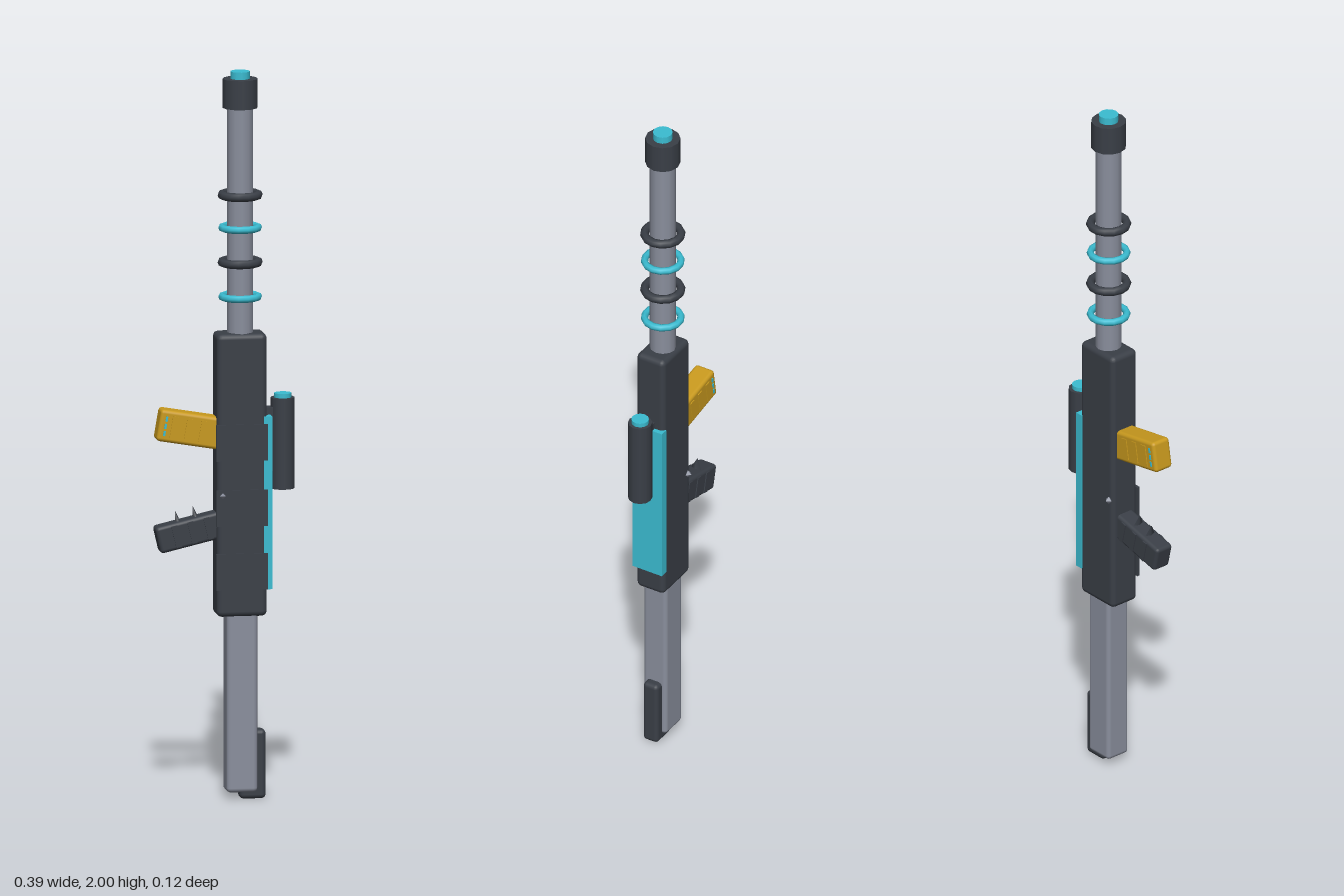
import * as THREE from 'three';
import { RoundedBoxGeometry } from 'three/addons/geometries/RoundedBoxGeometry.js';

export function createModel() {
  const root = new THREE.Group();
  root.name = 'uprightBlaster';
  const mat = (name, color) => {
    const m = new THREE.MeshStandardMaterial({ color });
    m.name = name;
    return m;
  };
  const dark = mat('charcoal', 0x3a3f47);
  const grey = mat('steelGrey', 0x8a8f9d);
  const cyan = mat('glowCyan', 0x3bbdd2);
  const gold = mat('amber', 0xc99a1e);

  const add = (parent, name, geo, material, x, y, z = 0) => {
    const m = new THREE.Mesh(geo, material);
    m.name = name;
    m.position.set(x, y, z);
    parent.add(m);
    return m;
  };
  // Boxes given by their x, y and z limits
  const box = (parent, name, material, [x0, x1], [y0, y1], [z0, z1], r = 0) => {
    const s = [x1 - x0, y1 - y0, z1 - z0];
    const geo = r ? new RoundedBoxGeometry(...s, 2, r) : new THREE.BoxGeometry(...s);
    return add(parent, name, geo, material, (x0 + x1) / 2, (y0 + y1) / 2, (z0 + z1) / 2);
  };
  const cyl = (name, material, r, y0, y1, x, sides = 12) =>
    add(root, name, new THREE.CylinderGeometry(r, r, y1 - y0, sides), material, x, (y0 + y1) / 2);

  const axis = 0.042;

  // Receiver, stock and butt pad
  box(root, 'receiver', dark, [-0.028, 0.11], [0.505, 1.283], [-0.045, 0.045], 0.015);
  box(root, 'stock', grey, [0, 0.085], [0.02, 0.52], [-0.037, 0.037], 0.012);
  box(root, 'buttPad', dark, [0.038, 0.11], [0, 0.19], [-0.024, 0.024], 0.012);

  // Raised plates on the front of the receiver
  for (const y of [0.985, 0.805, 0.63]) {
    box(root, 'armourPlate', dark, [-0.031, 0.111], [y - 0.05, y + 0.05], [0.04, 0.0485]);
  }
  // Receiver pins
  for (const s of [-1, 1]) {
    add(root, 'pin', new THREE.OctahedronGeometry(0.011), grey, -0.013, 0.84, s * 0.046);
  }

  // Barrel, muzzle and coil rings
  cyl('barrel', grey, 0.036, 1.26, 1.92, axis);
  cyl('muzzle', dark, 0.048, 1.9, 1.98, axis);
  cyl('muzzleCore', cyan, 0.027, 1.95, 2, axis);
  [1.38, 1.475, 1.57, 1.66].forEach((y, i) => {
    const ring = new THREE.TorusGeometry(0.05, i % 2 ? 0.012 : 0.01, 8, 14).rotateX(Math.PI / 2);
    add(root, 'coilRing', ring, i % 2 ? dark : cyan, axis, y);
  });

  // Energy panel and scope
  box(root, 'energyPanel', cyan, [0.1, 0.123], [0.58, 1.055], [-0.047, 0.047]);
  box(root, 'scopeMount', dark, [0.1, 0.14], [0.9, 1.075], [-0.016, 0.016]);
  cyl('scope', dark, 0.033, 0.85, 1.1, 0.159);
  cyl('scopeLens', cyan, 0.024, 1.09, 1.112, 0.159);

  // Magazine, tilted up away from the receiver; local x runs outward to -x
  const mag = new THREE.Group();
  mag.name = 'magazine';
  mag.position.set(-0.02, 1.008, 0);
  mag.rotation.z = -0.17;
  root.add(mag);
  box(mag, 'magazineBody', gold, [-0.168, 0.03], [-0.044, 0.044], [-0.03, 0.03], 0.01);
  for (const s of [-1, 1]) {
    for (const x of [-0.125, -0.085, -0.045]) {
      add(mag, 'magazineRib', new THREE.BoxGeometry(0.018, 0.06, 0.005), gold, x, 0, s * 0.03);
    }
    for (const y of [-0.02, 0, 0.02]) {
      add(mag, 'chargeLight', new THREE.BoxGeometry(0.006, 0.014, 0.004), cyan, -0.15, y, s * 0.03);
    }
  }

  // Hand grip, tilted down away from the receiver
  const grip = new THREE.Group();
  grip.name = 'handGrip';
  grip.position.set(-0.02, 0.756, 0);
  grip.rotation.z = 0.23;
  root.add(grip);
  box(grip, 'gripBody', dark, [-0.172, 0.03], [-0.037, 0.037], [-0.028, 0.028], 0.01);
  for (const x of [-0.12, -0.075, -0.03]) {
    box(grip, 'gripBand', dark, [x - 0.008, x + 0.008], [-0.03, 0.03], [-0.031, 0.031]);
  }
  // Finger fins on the upper side of the grip
  for (const x of [-0.105, -0.055]) {
    const fin = new THREE.ConeGeometry(0.012, 0.035, 4).scale(0.6, 1, 1.5);
    add(grip, 'fingerFin', fin, dark, x, 0.05);
  }
  return root;
}
